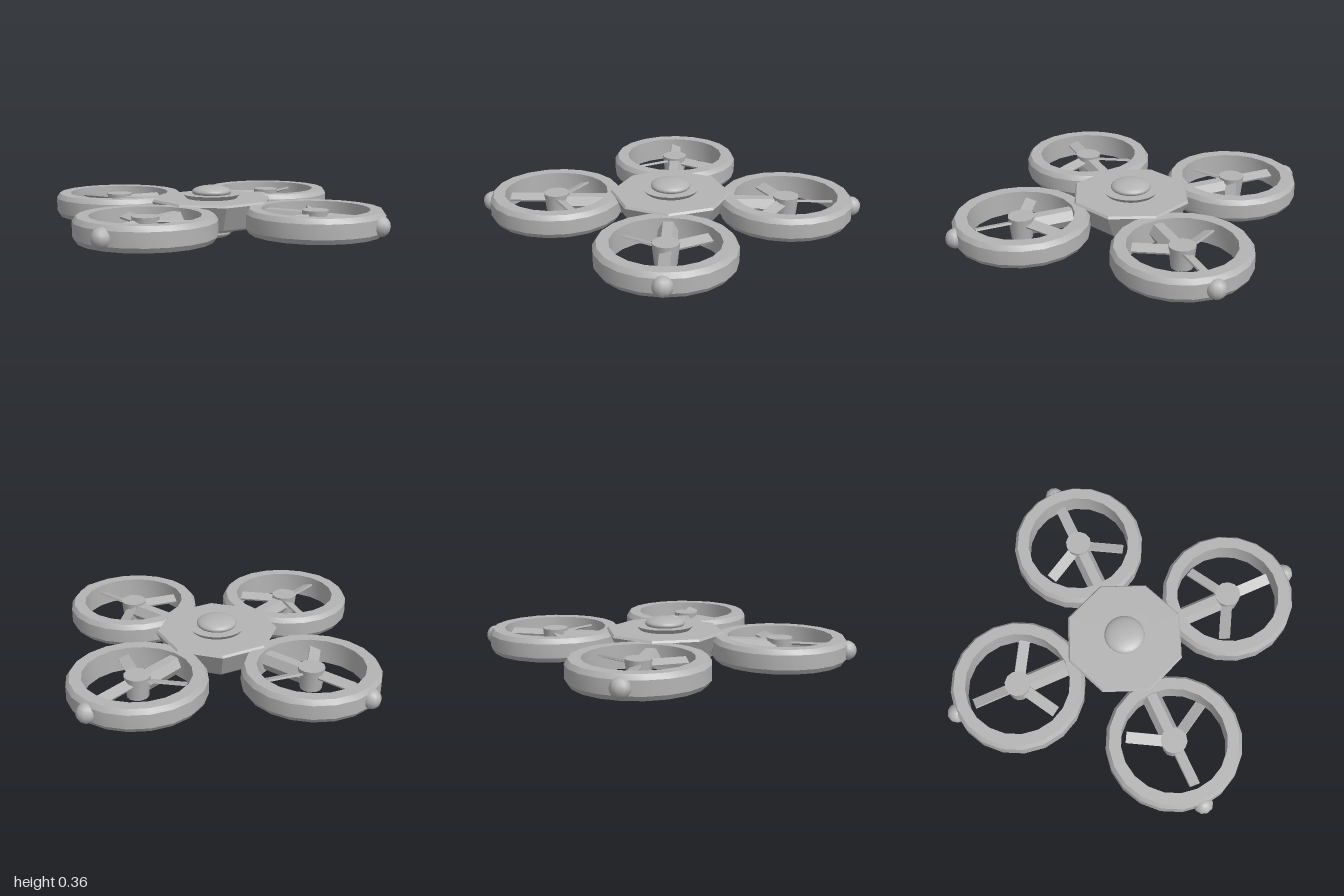
import * as THREE from 'three';
import { toCreasedNormals } from 'three/addons/utils/BufferGeometryUtils.js';

const grey = new THREE.MeshStandardMaterial({ color: 0xb4b4b4 });
grey.name = 'light grey';

function part(name, geometry, parent, x = 0, y = 0, z = 0) {
  const mesh = new THREE.Mesh(geometry, grey);
  mesh.name = name;
  mesh.position.set(x, y, z);
  parent.add(mesh);
  return mesh;
}

// Turned shape from [radius, height] pairs, listed from the bottom up the outside
function turned(profile, sides, crease) {
  const points = profile.map(([r, y]) => new THREE.Vector2(r, y));
  return toCreasedNormals(new THREE.LatheGeometry(points, sides), crease);
}

// Guarded rotor in its own frame: +x points away from the body
function createRotor(spin) {
  const rotor = new THREE.Group();
  rotor.name = 'rotor';

  // Duct ring with a bevelled outer rim
  part('ductRing', turned([
    [0.35, 0.108], [0.428, 0.108], [0.45, 0.14], [0.45, 0.235],
    [0.428, 0.267], [0.35, 0.267], [0.35, 0.108],
  ], 20, 0.5), rotor);

  // Tapered motor
  part('motor', toCreasedNormals(new THREE.CylinderGeometry(0.088, 0.072, 0.15, 12), 0.7), rotor, 0, 0.183, 0);

  // Six-sided arm running back to the body
  const arm = new THREE.CylinderGeometry(0.066, 0.066, 0.44, 6);
  arm.rotateZ(Math.PI / 2);
  part('arm', toCreasedNormals(arm, 0.5), rotor, -0.26, 0.185, 0);

  // Three pitched blades, one pointing straight outward
  for (let i = 0; i < 3; i++) {
    const blade = new THREE.BoxGeometry(0.27, 0.014, 0.075);
    blade.rotateX(0.35 * spin);
    blade.translate(0.18, 0.22, 0);
    part('blade', blade, rotor).rotation.y = (i * Math.PI * 2) / 3;
  }

  // Round lamp on the outer rim
  part('lamp', new THREE.SphereGeometry(0.066, 10, 8), rotor, 0.442, 0.188, 0);
  return rotor;
}

export function createModel() {
  const drone = new THREE.Group();
  drone.name = 'quadcopter';

  // Octagonal body, narrower at the bottom
  part('body', turned([
    [0, 0.09], [0.31, 0.09], [0.325, 0.103], [0.412, 0.265], [0.4, 0.28], [0, 0.28],
  ], 8, 0.3), drone);

  // Collars and domes above and below the body
  part('topCollar', turned([[0.17, 0.278], [0.195, 0.308], [0, 0.308]], 32, 0.6), drone);
  part('bottomCollar', turned([[0, 0.06], [0.172, 0.06], [0.195, 0.092]], 32, 0.6), drone);
  for (const [name, y] of [['topDome', 0.323], ['bottomDome', 0.045]]) {
    const dome = new THREE.SphereGeometry(0.135, 24, 16);
    dome.scale(1, 0.32, 1);
    part(name, dome, drone, 0, y, 0);
  }

  // Four rotors on the diagonals; neighbours spin opposite ways
  for (const sx of [-1, 1]) {
    for (const sz of [-1, 1]) {
      const rotor = createRotor(sx * sz);
      rotor.position.set(0.553 * sx, 0, 0.553 * sz);
      rotor.rotation.y = Math.atan2(-sz, sx);
      drone.add(rotor);
    }
  }
  return drone;
}
